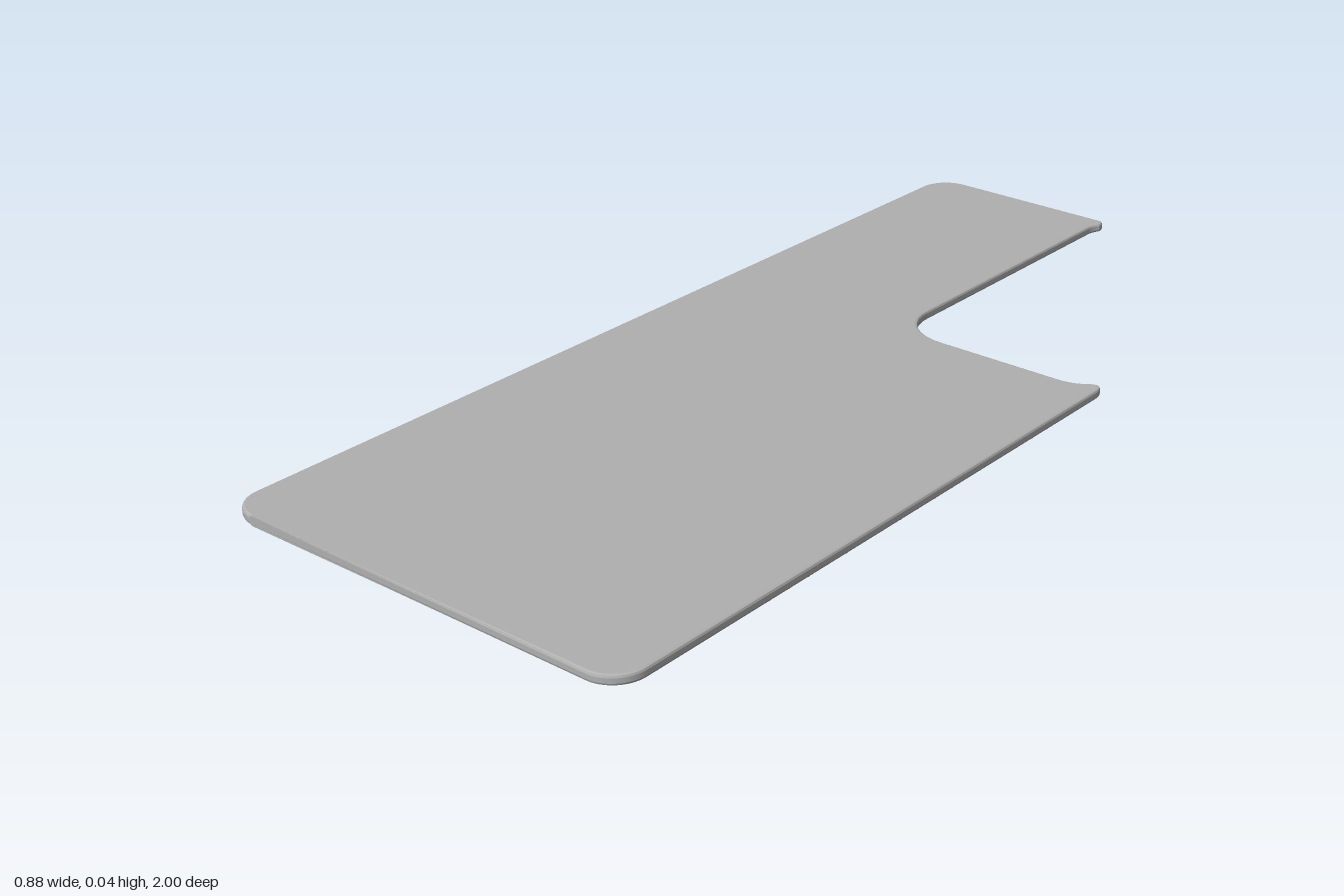
import * as THREE from 'three';
import { mergeGeometries } from 'three/addons/utils/BufferGeometryUtils.js';

const PLATE_BOTTOM = 0.024, PLATE_TOP = 0.043, BEVEL = 0.005;

// L-shaped outline with rounded corners, drawn with shape y = -z
function plateShape() {
  const s = new THREE.Shape();
  s.moveTo(-0.38, -1);
  s.lineTo(0.376, -1);
  s.absarc(0.376, -0.936, 0.064, -Math.PI / 2, 0, false);
  s.lineTo(0.44, 0.272);
  s.quadraticCurveTo(0.438, 0.3, 0.414, 0.288);    // small lip on the side corner
  s.quadraticCurveTo(0.39, 0.268, 0.355, 0.268);
  s.lineTo(0.09, 0.268);
  s.absarc(0.09, 0.373, 0.105, -Math.PI / 2, -Math.PI, true); // inner corner
  s.lineTo(-0.015, 0.955);
  s.quadraticCurveTo(-0.014, 0.968, -0.007, 0.98); // small lip on the arm corner
  s.quadraticCurveTo(-0.004, 1, -0.022, 1);
  s.lineTo(-0.376, 1);
  s.absarc(-0.376, 0.936, 0.064, Math.PI / 2, Math.PI, false);
  s.lineTo(-0.44, -0.936);
  s.absarc(-0.376, -0.936, 0.064, Math.PI, Math.PI * 1.5, false);
  return s;
}

// Piecewise-linear curve through [x, z] points
function along(points, x) {
  for (let i = 1; i < points.length; i++) {
    const [x0, z0] = points[i - 1], [x1, z1] = points[i];
    if (x <= x1) return z0 + (z1 - z0) * (x - x0) / (x1 - x0);
  }
  return points[points.length - 1][1];
}

const frontEdge = [[-0.42, 0.95], [-0.15, 0.92], [0.06, 0.88], [0.22, 0.8], [0.32, 0.73], [0.42, 0.62]];
const channel = [[-0.22, 0.24], [-0.1, 0.24], [0.12, 0.21], [0.22, 0.15], [0.31, 0.07], [0.42, 0.03]];
const clearings = [[-0.35, 0.58, 0.085], [-0.036, -0.072, 0.08], [-0.32, -0.16, 0.08]];

// True where a stud stands: inside the field, off the channel and clearings
function hasStud(x, z) {
  if (z > along(frontEdge, x)) return false;
  const back = x < -0.04 ? -0.775 : x < 0.05 ? -0.27 : -0.215;
  if (z < back) return false;
  if (x > -0.22 && Math.abs(z - along(channel, x)) < (x > 0.12 ? 0.055 : 0.042)) return false;
  return clearings.every(([cx, cz, r]) => Math.hypot(x - cx, z - cz) > r);
}

export function createModel() {
  const group = new THREE.Group();
  const grey = new THREE.MeshStandardMaterial({ color: 0xb0b0b0 });
  grey.name = 'grey';

  // Flat plate with eased edges
  const plateGeometry = new THREE.ExtrudeGeometry(plateShape(), {
    depth: PLATE_TOP - PLATE_BOTTOM - 2 * BEVEL,
    bevelEnabled: true, bevelThickness: BEVEL, bevelSize: BEVEL,
    bevelOffset: -BEVEL, bevelSegments: 2, curveSegments: 12,
  });
  plateGeometry.rotateX(-Math.PI / 2);
  plateGeometry.translate(0, PLATE_BOTTOM + BEVEL, 0);
  const plate = new THREE.Mesh(plateGeometry, grey);
  plate.name = 'plate';
  group.add(plate);

  // Staggered field of short round studs underneath
  const pitchX = 0.0421, pitchZ = 0.0486, height = PLATE_BOTTOM + 0.002;
  const stud = new THREE.CylinderGeometry(0.0135, 0.0135, height, 12);
  const studs = [];
  for (let column = 0; column < 20; column++) {
    const x = -0.402 + column * pitchX;
    for (let row = 0; row < 37; row++) {
      const z = 0.94 - (row + (column % 2) / 2) * pitchZ;
      if (hasStud(x, z)) studs.push(stud.clone().translate(x, height / 2, z));
    }
  }
  const studField = new THREE.Mesh(mergeGeometries(studs), grey);
  studField.name = 'undersideStuds';
  group.add(studField);

  return group;
}
